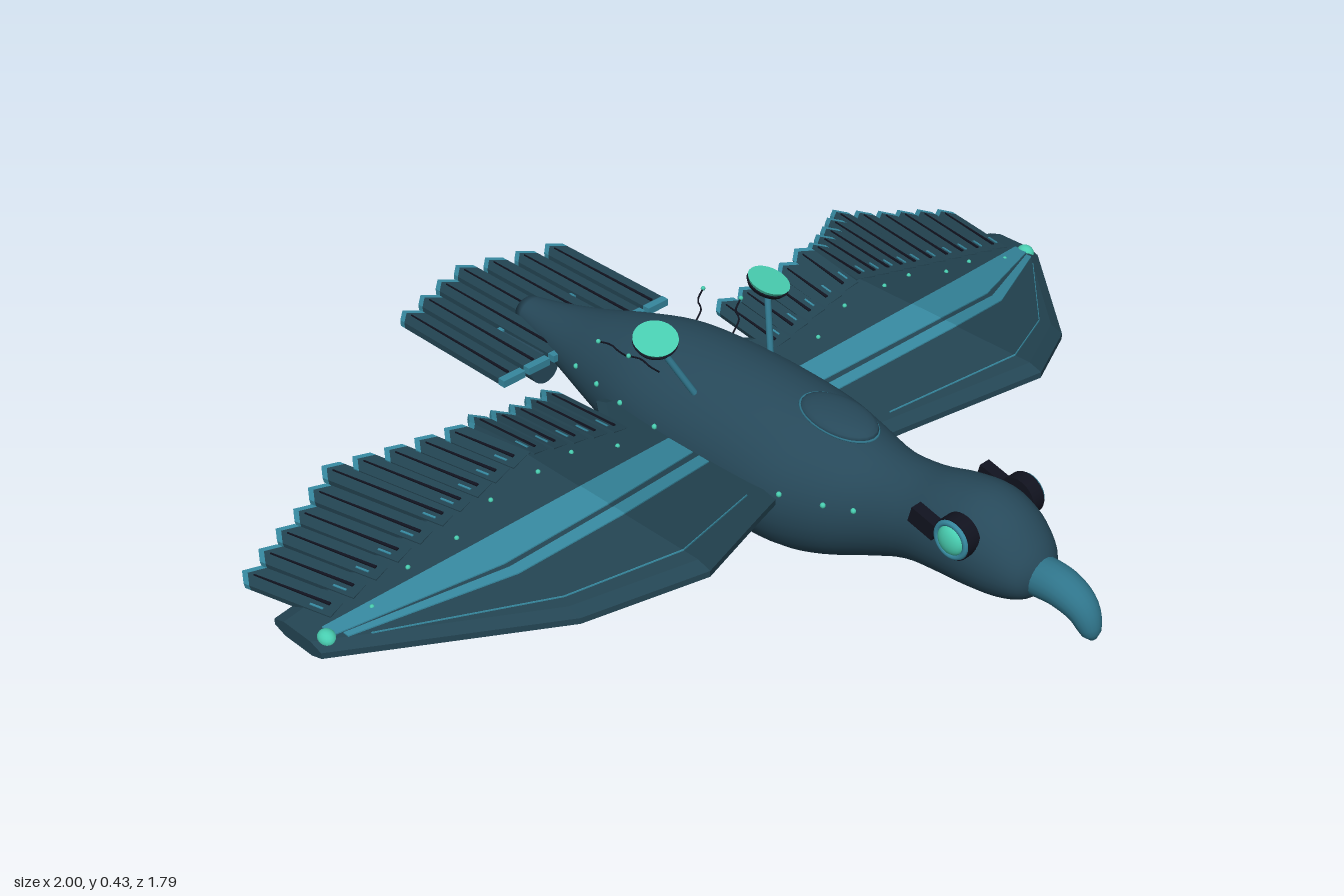
import * as THREE from 'three';

const mat = (name, color) => Object.assign(new THREE.MeshStandardMaterial({ color }), { name });

// Skin a list of closed rings (arrays of [x, y, z]) and close both ends
function loft(rings, flat) {
  const n = rings[0].length, last = (rings.length - 1) * n, idx = [];
  for (let i = 0; i < rings.length - 1; i++) {
    for (let j = 0; j < n; j++) {
      const a = i * n + j, b = i * n + (j + 1) % n;
      idx.push(a, a + n, b, b, a + n, b + n);
    }
  }
  for (let j = 1; j < n - 1; j++) idx.push(0, j, j + 1, last, last + j + 1, last + j);
  let g = new THREE.BufferGeometry();
  g.setAttribute('position', new THREE.Float32BufferAttribute(rings.flat(2), 3));
  g.setIndex(idx);
  if (flat) g = g.toNonIndexed();
  g.computeVertexNormals();
  return g;
}

// Mirror a geometry across x, keeping its faces outward
function mirrored(geo) {
  const g = geo.index ? geo.toNonIndexed() : geo.clone();
  g.scale(-1, 1, 1);
  const idx = [];
  for (let i = 0; i < g.attributes.position.count; i += 3) idx.push(i, i + 2, i + 1);
  g.setIndex(idx);
  return g;
}

// Flat outline in (x, backward) laid level, with its thickness centred on y = 0
function plate(points, thick) {
  const shape = new THREE.Shape(points.map(p => new THREE.Vector2(p[0], p[1])));
  return new THREE.ExtrudeGeometry(shape, { depth: thick, bevelEnabled: false })
    .rotateX(-Math.PI / 2).translate(0, -thick / 2, 0);
}

// Pointed feather: blade, bright chevron at the tip and a central shaft
function feather(len, w, thick) {
  const h = w / 2, p = w * 0.5, c = 0.014;
  return {
    blade: plate([[-h, 0], [h, 0], [h, len - p - c], [0, len - c], [-h, len - p - c]], thick),
    tip: plate([[-h, len - p - c], [0, len - c], [h, len - p - c], [h, len - p], [0, len], [-h, len - p]], thick),
    shaft: plate([[-0.003, 0.02], [0.003, 0.02], [0.001, len - 0.03], [-0.001, len - 0.03]], thick + 0.006),
  };
}

export function createModel() {
  const root = new THREE.Group();
  root.name = 'mechanicalBird';
  const M = {
    body: mat('bodySlate', 0x27495a),
    plume: mat('featherSlate', 0x234452),
    band: mat('bandTeal', 0x36889f),
    beak: mat('beakTeal', 0x2f748a),
    mint: mat('mintGlow', 0x48cdb0),
    dark: mat('darkMetal', 0x11131f),
  };
  const add = (name, geo, m) => {
    const mesh = new THREE.Mesh(geo, m);
    mesh.name = name;
    root.add(mesh);
    return mesh;
  };
  const pair = (name, geo, m) => {
    add(name + 'Left', geo, m);
    add(name + 'Right', mirrored(geo), m);
  };
  const V = (x, y, z) => new THREE.Vector3(x, y, z);

  // Body and head: half width, top, bottom, z
  const stations = [
    [0.02, 0.24, 0.2, 0.775], [0.06, 0.28, 0.165, 0.75], [0.085, 0.325, 0.145, 0.7], [0.098, 0.345, 0.137, 0.635],
    [0.096, 0.335, 0.13, 0.56], [0.09, 0.313, 0.115, 0.48], [0.1, 0.305, 0.075, 0.39], [0.135, 0.315, 0.03, 0.29],
    [0.16, 0.327, 0.005, 0.19], [0.165, 0.335, 0.002, 0.05], [0.163, 0.332, 0.008, -0.1], [0.15, 0.318, 0.03, -0.22],
    [0.12, 0.285, 0.06, -0.34], [0.085, 0.245, 0.09, -0.46], [0.055, 0.215, 0.12, -0.57], [0.033, 0.198, 0.145, -0.655],
  ];
  const topLine = new THREE.CatmullRomCurve3(stations.map(s => V(s[0], s[1], s[3])), false, 'catmullrom');
  const lowLine = new THREE.CatmullRomCurve3(stations.map(s => V(s[0], s[2], s[3])), false, 'catmullrom');
  const hull = (t, a) => {
    const p = topLine.getPoint(t), q = lowLine.getPoint(t);
    return [p.x * Math.cos(a), (p.y + q.y) / 2 + (p.y - q.y) / 2 * Math.sin(a), p.z];
  };
  const rings = [];
  for (let i = 0; i <= 60; i++) {
    rings.push(Array.from({ length: 32 }, (_, j) => hull(i / 60, j / 32 * Math.PI * 2)));
  }
  add('body', loft(rings), M.body);

  // Hooked beak
  const hook = new THREE.CatmullRomCurve3([V(0, 0.215, 0.745), V(0, 0.216, 0.81), V(0, 0.195, 0.858), V(0, 0.142, 0.888)]);
  const beakRings = [];
  for (let i = 0; i <= 16; i++) {
    const t = i / 16, p = hook.getPoint(t), d = hook.getTangent(t);
    const r = 0.006 + 0.034 * Math.sqrt(1 - t * t);
    beakRings.push(Array.from({ length: 20 }, (_, j) => {
      const a = j / 20 * Math.PI * 2, s = r * Math.sin(a);
      return [r * Math.cos(a), p.y - d.z * s, p.z + d.y * s];
    }));
  }
  add('beak', loft(beakRings), M.beak);

  // Eyes with dark housings
  const disc = (r, h, x) => new THREE.CylinderGeometry(r, r, h, 24).rotateZ(Math.PI / 2).translate(x, 0.285, 0.635);
  pair('eyeHousing', disc(0.042, 0.03, 0.09), M.dark);
  pair('eyeRim', new THREE.TorusGeometry(0.034, 0.006, 8, 28).rotateY(Math.PI / 2).translate(0.106, 0.285, 0.635), M.band);
  pair('eye', new THREE.SphereGeometry(0.03, 20, 12).scale(0.5, 1, 1).translate(0.106, 0.285, 0.635), M.mint);
  pair('templePlate', new THREE.BoxGeometry(0.025, 0.035, 0.06).rotateX(0.25).translate(0.095, 0.285, 0.565), M.dark);

  // Back hatch: a raised panel with an outline
  add('backHatch', new THREE.SphereGeometry(1, 24, 12).scale(0.055, 0.02, 0.09).rotateX(0.06).translate(0, 0.323, 0.26), M.body);
  add('hatchOutline', new THREE.TorusGeometry(1, 0.035, 6, 32).rotateX(Math.PI / 2)
    .scale(0.055, 0.06, 0.09).rotateX(0.09).translate(0, 0.322, 0.26), M.beak);

  // Wings: x, mid height, front z, back z
  const wingY = x => x < 0.46 ? 0.262 - (0.46 - x) * 0.24 : 0.262 - (x - 0.46) * 0.2444;
  const section = (h, edge) => ([x, zf, zb]) => {
    const y = wingY(x), e = Math.min(edge, (zf - zb) / 3);
    return [[x, y - h * 0.4, zf], [x, y + h * 0.4, zf], [x, y + h, zf - e], [x, y + h, zb + e],
      [x, y + h * 0.4, zb], [x, y - h * 0.4, zb], [x, y - h, zb + e], [x, y - h, zf - e]];
  };
  const panel = [[0.1, 0.215, -0.25], [0.165, 0.245, -0.25], [0.21, 0.265, -0.19], [0.46, 0.38, -0.15],
    [0.67, 0.268, -0.17], [0.998, -0.06, -0.2]];
  pair('wing', loft(panel.map(section(0.016, 0.03)), true), M.plume);
  const bands = {
    wingBandWide: [[0.165, 0.03, -0.04], [0.46, 0.115, 0.035], [0.67, 0.065, -0.02], [0.965, -0.065, -0.1]],
    wingBandThin: [[0.165, 0.075, 0.045], [0.46, 0.158, 0.126], [0.67, 0.105, 0.077], [0.95, -0.04, -0.056]],
    wingSeam: [[0.2, 0.214, 0.21], [0.46, 0.314, 0.31], [0.66, 0.216, 0.212], [0.92, -0.01, -0.014]],
  };
  for (const [name, rows] of Object.entries(bands)) pair(name, loft(rows.map(section(0.0185, 0.001)), true), M.band);
  pair('wingtipLight', new THREE.SphereGeometry(0.021, 16, 10).scale(0.8, 0.8, 1).translate(0.972, wingY(0.972) + 0.012, -0.075), M.mint);

  // Wing feathers: tip line interpolated from x, z
  const tips = [[0.24, -0.325], [0.38, -0.29], [0.5, -0.3], [0.6, -0.355], [0.71, -0.428], [0.8, -0.385], [0.9, -0.36], [0.985, -0.33]];
  const tipZ = x => {
    const k = Math.min(tips.length - 2, Math.max(0, tips.findIndex(t => t[0] >= x) - 1));
    const [a, b] = [tips[k], tips[k + 1]];
    return a[1] + (b[1] - a[1]) * (x - a[0]) / (b[0] - a[0]);
  };
  for (let i = 0; i < 15; i++) {
    const x = 0.25 + i * 0.0514, z = tipZ(x), lean = 0.12 + 0.008 * i, z0 = -0.11;
    const f = feather((z0 - z) / Math.cos(lean), 0.05, 0.012);
    const bx = x - (z0 - z) * Math.tan(lean), slope = x < 0.46 ? 0.235 : -0.24;
    const set = g => g.rotateY(-lean).rotateZ(slope + 0.06).translate(bx, wingY(bx) + 0.011, z0);
    pair('wingFeather' + i, set(f.blade), M.plume);
    pair('wingFeatherTip' + i, set(f.tip), M.band);
    pair('wingFeatherShaft' + i, set(f.shaft), M.dark);
    pair('wingFeatherTick' + i, set(new THREE.BoxGeometry(0.004, 0.016, 0.03).translate(0.015, 0, -0.04)), M.band);
  }

  // Tail fan
  for (let i = -3; i <= 3; i++) {
    const f = feather(0.435 - [0, 0.02, 0.045, 0.068][Math.abs(i)], 0.056, 0.014);
    const set = g => g.translate(i * 0.0675, 0.17, -0.46);
    add('tailFeather', set(f.blade), M.plume);
    add('tailFeatherTip', set(f.tip), M.band);
    add('tailFeatherShaft', set(f.shaft), M.dark);
    add('tailFeatherRoot', set(new THREE.BoxGeometry(0.057, 0.016, 0.018).translate(0, 0, -0.008)), M.band);
  }

  // Thrusters under the tail
  const barrel = (r0, r1, h, z) => new THREE.CylinderGeometry(r0, r1, h, 24).rotateX(Math.PI / 2).translate(0.095, 0.135, z);
  pair('thruster', barrel(0.036, 0.034, 0.13, -0.555), M.body);
  pair('thrusterRing', barrel(0.039, 0.039, 0.015, -0.625), M.band);
  pair('thrusterNozzle', barrel(0.03, 0.03, 0.012, -0.632), M.dark);
  pair('thrusterGlow', barrel(0.022, 0.022, 0.012, -0.636), M.mint);
  pair('thrusterMount', new THREE.BoxGeometry(0.07, 0.02, 0.08).translate(0.06, 0.15, -0.54), M.body);

  // Dish antennas on slanted stalks
  const stalk = new THREE.LineCurve3(V(0.1, 0.28, -0.02), V(0.152, 0.403, -0.083));
  pair('dishStalk', new THREE.TubeGeometry(stalk, 1, 0.007, 10), M.beak);
  const dish = (h, y, r) => new THREE.CylinderGeometry(r, r * 0.9, h, 28).translate(0, y, 0)
    .rotateX(0.3).rotateZ(-0.18).translate(0.154, 0.408, -0.083);
  pair('dishBack', dish(0.008, -0.004, 0.045), M.dark);
  pair('dish', dish(0.008, 0.004, 0.045), M.mint);

  // Wire whiskers on the back
  for (const [x, y, z] of [[0.1, 0.29, -0.13], [0.09, 0.275, -0.23]]) {
    const wire = new THREE.CatmullRomCurve3([V(x, y, z), V(x + 0.025, y + 0.025, z - 0.005), V(x + 0.03, y + 0.035, z - 0.02), V(x + 0.055, y + 0.05, z - 0.03)]);
    pair('whisker', new THREE.TubeGeometry(wire, 10, 0.002, 6), M.dark);
    pair('whiskerBead', new THREE.SphereGeometry(0.005, 8, 6).translate(x + 0.055, y + 0.05, z - 0.03), M.mint);
  }

  // Rivets along the flanks and wings
  for (const t of [0.4, 0.44, 0.5, 0.66, 0.72, 0.77, 0.82]) {
    pair('flankRivet', new THREE.SphereGeometry(0.006, 8, 6).translate(...hull(t, 0.25)), M.mint);
  }
  for (let i = 0; i < 7; i++) {
    const x = 0.28 + i * 0.1;
    pair('wingRivet', new THREE.SphereGeometry(0.005, 8, 6).translate(x, wingY(x) + 0.017, -0.06 - 0.02 * (i % 2)), M.mint);
  }
  return root;
}
